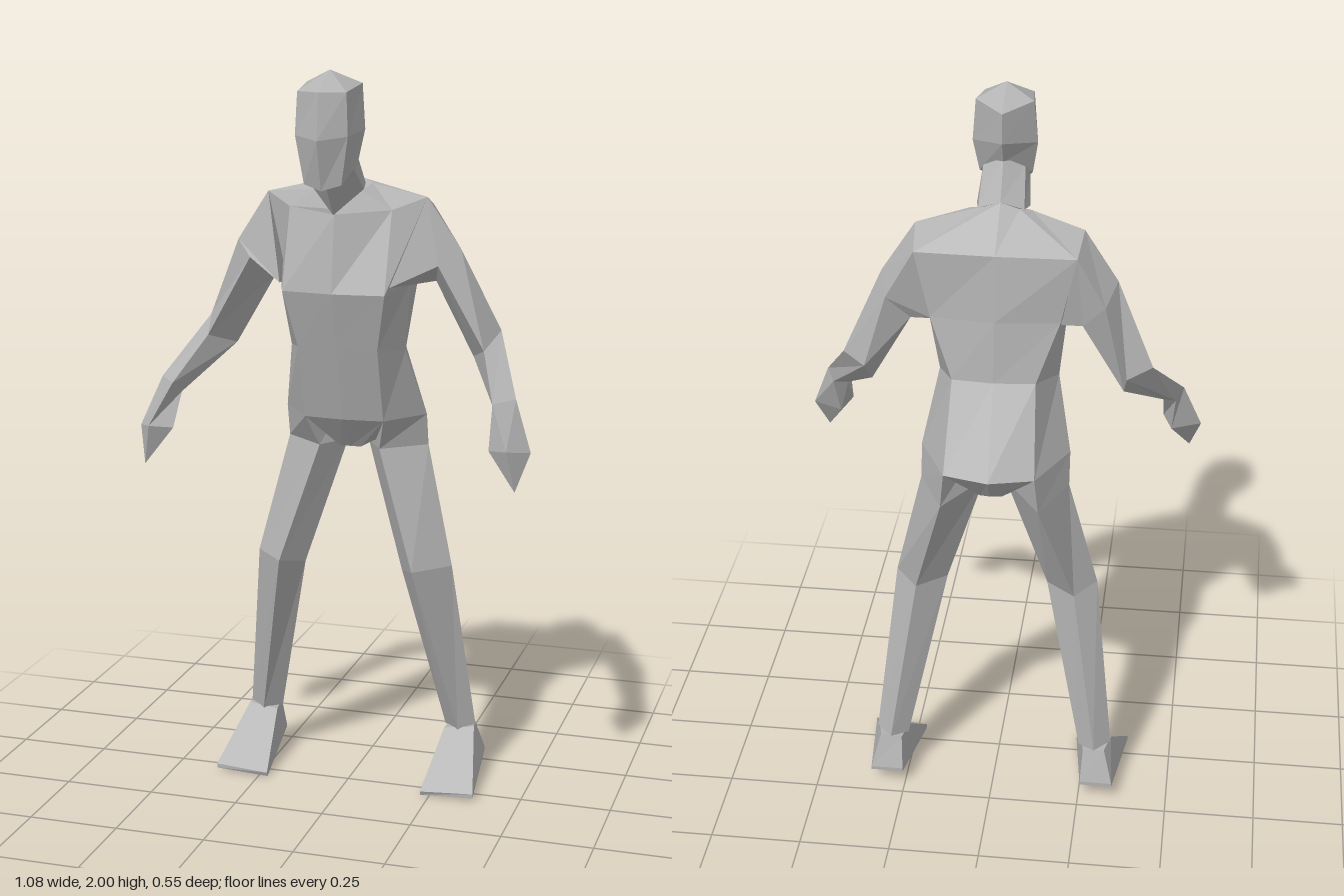
import * as THREE from 'three';

const skin = new THREE.MeshStandardMaterial({ color: 0xb2b2b2, flatShading: true });
skin.name = 'plain grey';

// Skin a stack of rings (bottom to top, each running front, +x, back, -x) and cap both ends
function loft(name, rings) {
  const pos = [];
  const n = rings[0].length;
  const tri = (a, b, c) => pos.push(...a, ...b, ...c);
  const centre = ring => [0, 1, 2].map(k => ring.reduce((s, p) => s + p[k], 0) / n);
  const first = rings[0], last = rings[rings.length - 1];
  const c0 = centre(first), c1 = centre(last);
  for (let i = 0; i < n; i++) {
    const j = (i + 1) % n;
    for (let r = 0; r < rings.length - 1; r++) {
      const a = rings[r], b = rings[r + 1];
      tri(a[i], a[j], b[j]);
      tri(a[i], b[j], b[i]);
    }
    tri(c0, first[j], first[i]);
    tri(c1, last[i], last[j]);
  }
  const geo = new THREE.BufferGeometry();
  geo.setAttribute('position', new THREE.Float32BufferAttribute(pos, 3));
  geo.computeVertexNormals();
  const mesh = new THREE.Mesh(geo, skin);
  mesh.name = name;
  return mesh;
}

const flip = ([x, y, z]) => [-x, y, z];

// Complete half rings, listed from front centre to back centre
const symmetric = (name, halves) =>
  loft(name, halves.map(h => [...h, ...h.slice(1, -1).reverse().map(flip)]));

// Left limb and its mirrored right twin
const pair = (name, rings) => [
  loft('left' + name, rings),
  loft('right' + name, rings.map(r => r.map(flip).reverse())),
];

export function createModel() {
  const model = new THREE.Group();
  model.name = 'standingFigure';

  // Torso: crotch, hips, waist, chest, shoulders, neck base
  model.add(symmetric('torso', [
    [[0, 0.97, -0.02], [0.03, 0.97, -0.02], [0.04, 0.97, -0.1], [0.03, 0.98, -0.2], [0, 0.99, -0.22]],
    [[0, 1.06, 0.05], [0.11, 1.06, 0.04], [0.2, 1.06, -0.08], [0.12, 1.06, -0.245], [0, 1.06, -0.275]],
    [[0, 1.265, 0.11], [0.11, 1.265, 0.1], [0.16, 1.25, 0], [0.11, 1.285, -0.13], [0, 1.285, -0.14]],
    [[0, 1.42, 0.155], [0.14, 1.42, 0.14], [0.18, 1.44, 0.03], [0.17, 1.45, -0.1], [0, 1.45, -0.122]],
    [[0, 1.625, 0.125], [0.14, 1.635, 0.07], [0.22, 1.665, 0.01], [0.21, 1.63, -0.1], [0, 1.63, -0.105]],
    [[0, 1.64, 0.125], [0.06, 1.685, 0.08], [0.08, 1.7, 0.04], [0.05, 1.71, 0.02], [0, 1.725, 0.02]],
  ]));

  // Neck, leaning forward
  model.add(symmetric('neck', [
    [[0, 1.625, 0.135], [0.07, 1.69, 0.09], [0.06, 1.7, 0.04], [0, 1.725, 0.02]],
    [[0, 1.71, 0.2], [0.062, 1.76, 0.17], [0.055, 1.79, 0.11], [0, 1.82, 0.09]],
  ]));

  // Head: jaw, cheeks, brow, crown point
  const crown = [0, 2, 0.16];
  model.add(symmetric('head', [
    [[0, 1.7, 0.24], [0.05, 1.715, 0.225], [0.07, 1.76, 0.15], [0, 1.81, 0.085]],
    [[0, 1.83, 0.275], [0.07, 1.84, 0.235], [0.085, 1.85, 0.13], [0, 1.87, 0.055]],
    [[0, 1.95, 0.26], [0.065, 1.95, 0.23], [0.075, 1.965, 0.12], [0, 1.95, 0.055]],
    [crown, crown, crown, crown],
  ]));

  // Arms: fingertip, knuckles, wrist, elbow, upper arm, shoulder
  const tip = [0.51, 0.94, 0.21];
  model.add(...pair('Arm', [
    [tip, tip, tip, tip],
    [[0.49, 1.05, 0.23], [0.54, 1.035, 0.16], [0.46, 1.03, 0.13], [0.435, 1.04, 0.19]],
    [[0.44, 1.16, 0.175], [0.49, 1.165, 0.12], [0.47, 1.14, 0.09], [0.435, 1.125, 0.12]],
    [[0.385, 1.27, 0.045], [0.41, 1.31, -0.05], [0.345, 1.3, -0.11], [0.335, 1.235, -0.05]],
    [[0.26, 1.49, 0.05], [0.31, 1.53, 0], [0.285, 1.5, -0.105], [0.225, 1.43, -0.07]],
    [[0.15, 1.44, 0.13], [0.22, 1.665, 0.01], [0.21, 1.63, -0.1], [0.17, 1.43, -0.07]],
  ]));

  // Legs: ankle, knee, upper thigh, hip
  model.add(...pair('Leg', [
    [[0.29, 0.14, -0.11], [0.335, 0.15, -0.14], [0.29, 0.15, -0.19], [0.245, 0.14, -0.15]],
    [[0.19, 0.64, 0.035], [0.28, 0.64, -0.06], [0.22, 0.62, -0.115], [0.14, 0.62, -0.05]],
    [[0.085, 0.97, -0.01], [0.2, 0.97, -0.1], [0.13, 0.96, -0.24], [0.03, 0.97, -0.1]],
    [[0.11, 1.06, 0.04], [0.2, 1.06, -0.08], [0.12, 1.06, -0.245], [0.05, 1.06, -0.1]],
  ]));

  // Feet: wedge from sole to ankle
  model.add(...pair('Foot', [
    [[0.225, 0, 0.05], [0.375, 0.01, 0.055], [0.345, 0.045, -0.215], [0.255, 0.045, -0.215]],
    [[0.225, 0.012, 0.055], [0.375, 0.022, 0.055], [0.345, 0.055, -0.215], [0.255, 0.055, -0.215]],
    [[0.25, 0.14, -0.115], [0.335, 0.15, -0.12], [0.32, 0.15, -0.185], [0.26, 0.145, -0.185]],
  ]));

  return model;
}
